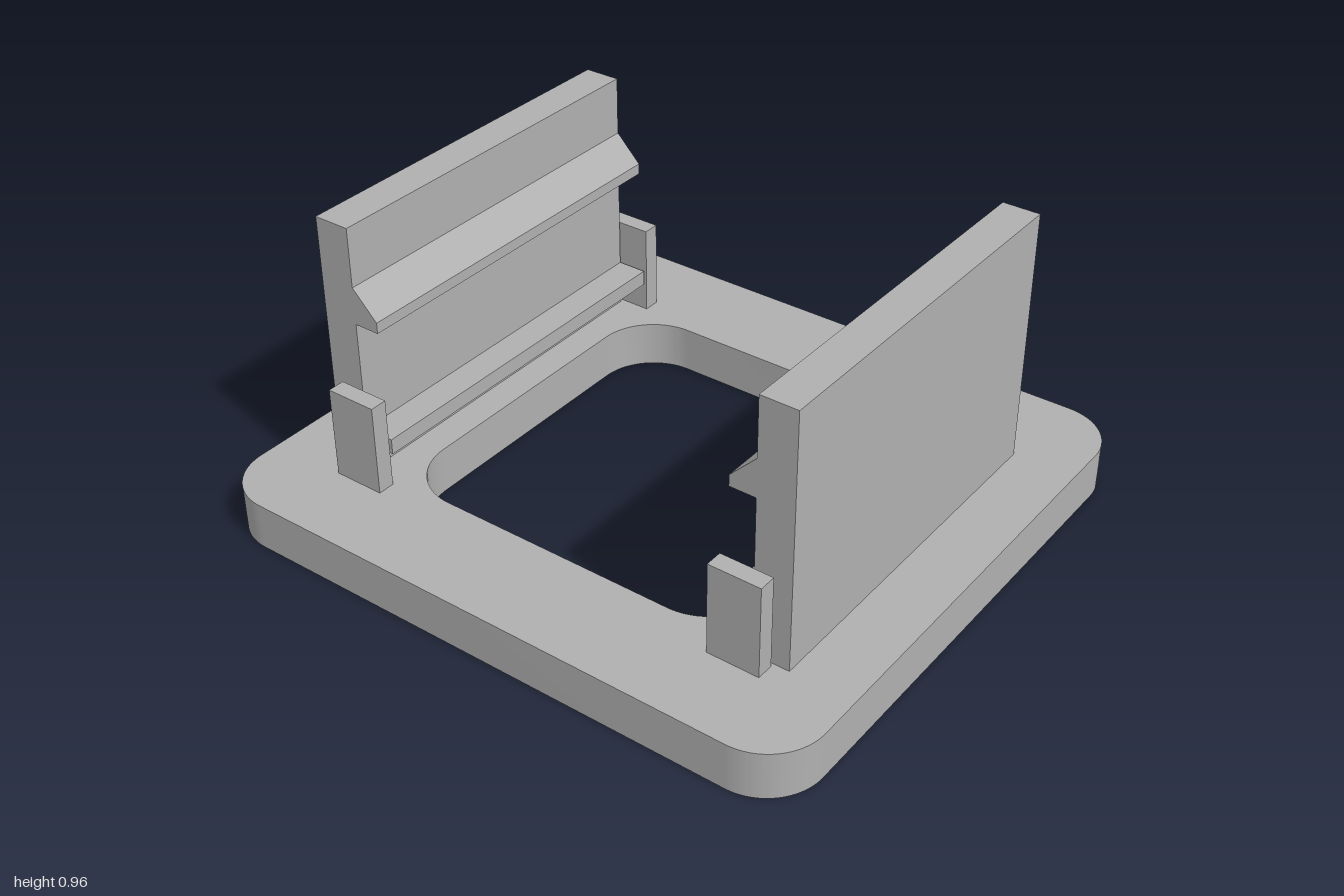
import * as THREE from 'three';
import { toCreasedNormals } from 'three/addons/utils/BufferGeometryUtils.js';

// Traces a rounded rectangle, centred on the origin, into a Shape or Path.
function roundedRect(path, hw, hh, r) {
  path.moveTo(hw, -hh + r);
  path.lineTo(hw, hh - r);
  path.absarc(hw - r, hh - r, r, 0, Math.PI / 2, false);
  path.absarc(-hw + r, hh - r, r, Math.PI / 2, Math.PI, false);
  path.absarc(-hw + r, -hh + r, r, Math.PI, Math.PI * 1.5, false);
  path.absarc(hw - r, -hh + r, r, Math.PI * 1.5, Math.PI * 2, false);
  return path;
}

export function createModel() {
  const model = new THREE.Group();
  model.name = 'clipFrame';
  const grey = new THREE.MeshStandardMaterial({ color: 0xb0b0b0 });
  grey.name = 'grey plastic';

  const add = (name, geometry) => {
    const mesh = new THREE.Mesh(geometry, grey);
    mesh.name = name;
    model.add(mesh);
    return mesh;
  };

  // Base plate with rounded corners and a rounded square opening
  const thickness = 0.15;
  const outline = roundedRect(new THREE.Shape(), 1, 0.917, 0.18);
  outline.holes.push(roundedRect(new THREE.Path(), 0.583, 0.583, 0.19));
  const plate = new THREE.ExtrudeGeometry(outline, { depth: thickness, bevelEnabled: false, curveSegments: 16 });
  plate.rotateX(-Math.PI / 2);
  add('basePlate', toCreasedNormals(plate, 0.6));

  // Clip wall section: lower ledge and snap barb on the inner face
  const section = [
    [0.8, 0.15], [0.8, 0.963], [0.683, 0.963], [0.683, 0.775], [0.6, 0.69], [0.6, 0.655],
    [0.683, 0.655], [0.683, 0.3], [0.585, 0.3], [0.585, 0.25], [0.683, 0.25], [0.683, 0.15],
  ];

  for (const [side, label] of [[1, 'left'], [-1, 'right']]) {
    const shape = new THREE.Shape(section.map(([x, y]) => new THREE.Vector2(side * x, y)));
    const wall = new THREE.ExtrudeGeometry(shape, { depth: 1.2, bevelEnabled: false });
    wall.translate(0, 0, -0.6);
    add(label + 'ClipWall', wall);

    // Small stop tabs just beyond each end of the wall
    for (const [end, place] of [[1, 'Front'], [-1, 'Back']]) {
      const tab = add(label + place + 'Tab', new THREE.BoxGeometry(0.167, 0.293, 0.055));
      tab.position.set(side * 0.667, thickness + 0.1465, end * 0.639);
    }
  }
  return model;
}
